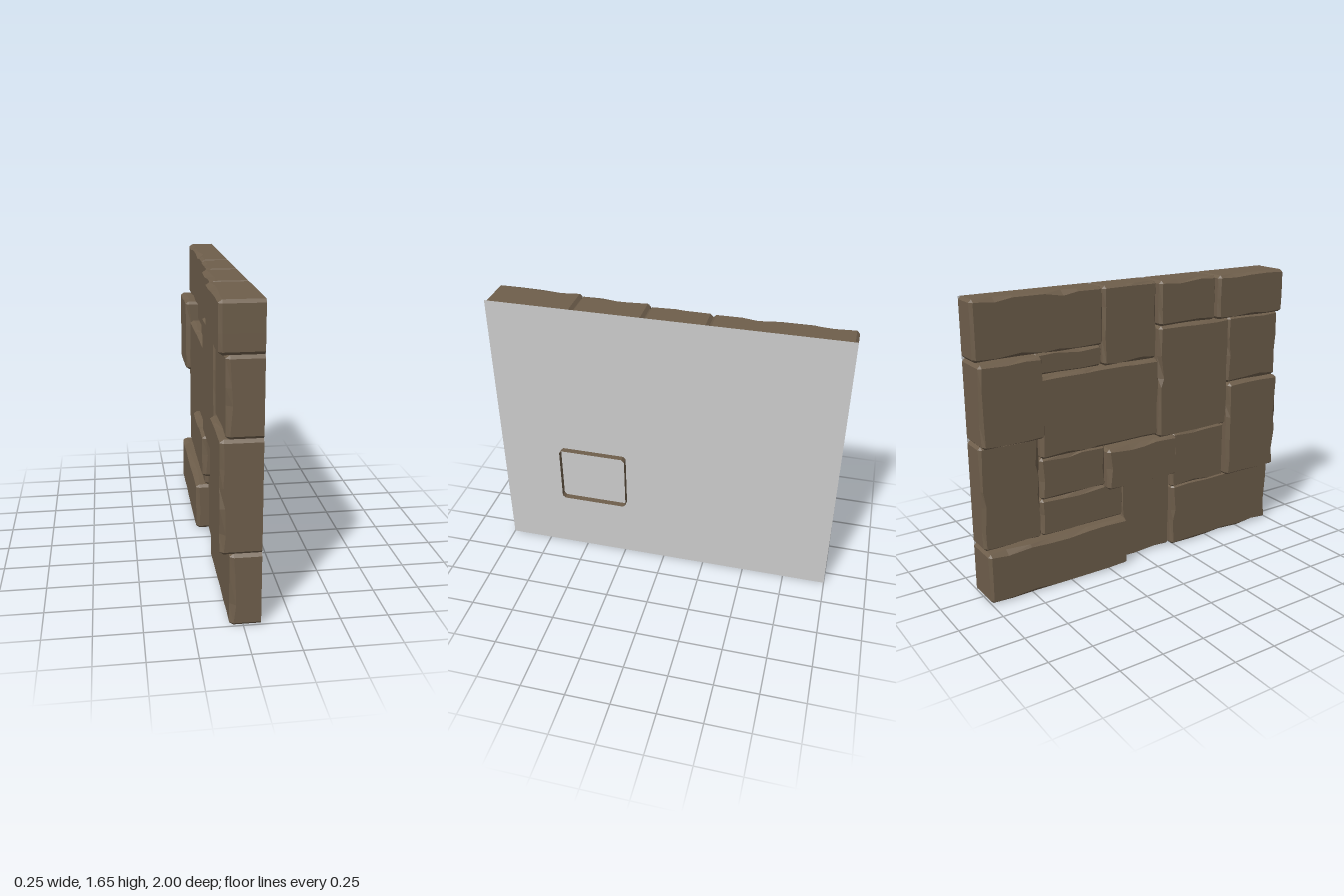
import * as THREE from 'three';

const BACK = 0.09, HEIGHT = 1.65;

// z from, z to, y from, y to, x of the front face, x of the open back
const STONES = [
  // bottom course
  [-1, -0.12, 0, 0.29, -0.115],
  [-0.12, 0.23, 0, 0.49, -0.04],
  [0.23, 1, 0, 0.395, -0.07],
  // middle courses
  [-1, -0.655, 0.29, 0.885, -0.06],
  [-0.655, -0.12, 0.29, 0.51, -0.06],
  [-0.655, -0.24, 0.51, 0.755, -0.07],
  [-0.25, 0.23, 0.49, 0.735, -0.115],
  [0.23, 0.63, 0.38, 0.73, -0.065, 0.125], // pushed through the backing
  [0.61, 1, 0.395, 0.99, -0.12],
  // upper courses
  [-1, -0.64, 0.885, 1.33, -0.118],
  [-0.655, 0.11, 0.755, 1.21, -0.09],
  [-0.655, -0.24, 1.21, 1.33, -0.04],
  [0.11, 0.61, 0.735, 1.395, -0.1],
  [0.61, 1, 0.99, 1.395, -0.092],
  // top course
  [-1, -0.24, 1.33, HEIGHT, -0.058],
  [-0.24, 0.11, 1.21, HEIGHT, -0.065],
  [0.11, 0.505, 1.395, HEIGHT, -0.1],
  [0.505, 1, 1.395, HEIGHT, -0.128],
];

// Small seeded generator for the chipped edges
function seeded(seed) {
  let s = seed * 7919 + 13;
  return () => ((s = (s * 16807) % 2147483647) / 2147483647);
}

// Open-backed block: wall, chipped bevel and flat face, from three loops
function stoneGeometry([z0, z1, y0, y1, front, back = BACK], seed) {
  const rand = seeded(seed + 1);
  rand();
  const c = 0.016, outline = [];
  const corners = [[z0, y0], [z1, y0], [z1, y1], [z0, y1]];
  const dirs = [[1, 0], [0, 1], [-1, 0], [0, -1]];

  // Each side runs between chamfered corners with uneven points along it
  corners.forEach(([z, y], k) => {
    const [dz, dy] = dirs[k];
    const length = k % 2 ? y1 - y0 : z1 - z0;
    const n = Math.max(2, Math.round(length / 0.13));
    for (let i = 0; i <= n; i++) {
      const end = i === 0 || i === n;
      const t = c + (length - 2 * c) * (end ? i / n : (i + (rand() - 0.5) * 0.6) / n);
      outline.push({
        z: z + dz * t, y: y + dy * t, nz: -dy, ny: dx(dz),
        inset: end ? 0.014 : 0.008 + 0.02 * rand() ** 2,
        drop: end ? 0.02 : 0.012 + 0.026 * rand(),
      });
    }
  });

  const n = outline.length, pos = [], index = [];
  for (const p of outline) pos.push(back, p.y, p.z);
  for (const p of outline) pos.push(front + p.drop, p.y, p.z);
  for (const p of outline) pos.push(front, p.y + p.ny * p.inset, p.z + p.nz * p.inset);
  pos.push(front, (y0 + y1) / 2, (z0 + z1) / 2);
  for (let i = 0; i < n; i++) {
    const j = (i + 1) % n;
    for (const r of [0, n]) {
      index.push(r + i, r + j, r + n + j, r + i, r + n + j, r + n + i);
    }
    index.push(2 * n + i, 2 * n + j, 3 * n);
  }
  const geo = new THREE.BufferGeometry();
  geo.setAttribute('position', new THREE.Float32BufferAttribute(pos, 3));
  geo.setIndex(index);
  const flat = geo.toNonIndexed();
  flat.computeVertexNormals();
  return flat;
}

// Inward direction of a side is its running direction turned left
function dx(dz) { return dz; }

export function createModel() {
  const wall = new THREE.Group();
  wall.name = 'stoneWallPanel';

  const stoneMaterial = new THREE.MeshStandardMaterial({
    color: 0x6e5e4b, flatShading: true, side: THREE.DoubleSide,
  });
  const stones = new THREE.Group();
  stones.name = 'stones';
  STONES.forEach((spec, i) => {
    const stone = new THREE.Mesh(stoneGeometry(spec, i), stoneMaterial);
    stone.name = `stone${i + 1}`;
    stones.add(stone);
  });
  wall.add(stones);

  // Flat backing sheet
  const backing = new THREE.Mesh(
    new THREE.PlaneGeometry(2, HEIGHT),
    new THREE.MeshStandardMaterial({ color: 0xcccccc, side: THREE.DoubleSide }),
  );
  backing.name = 'backing';
  backing.rotation.y = Math.PI / 2;
  backing.position.set(BACK, HEIGHT / 2, 0);
  wall.add(backing);

  return wall;
}
